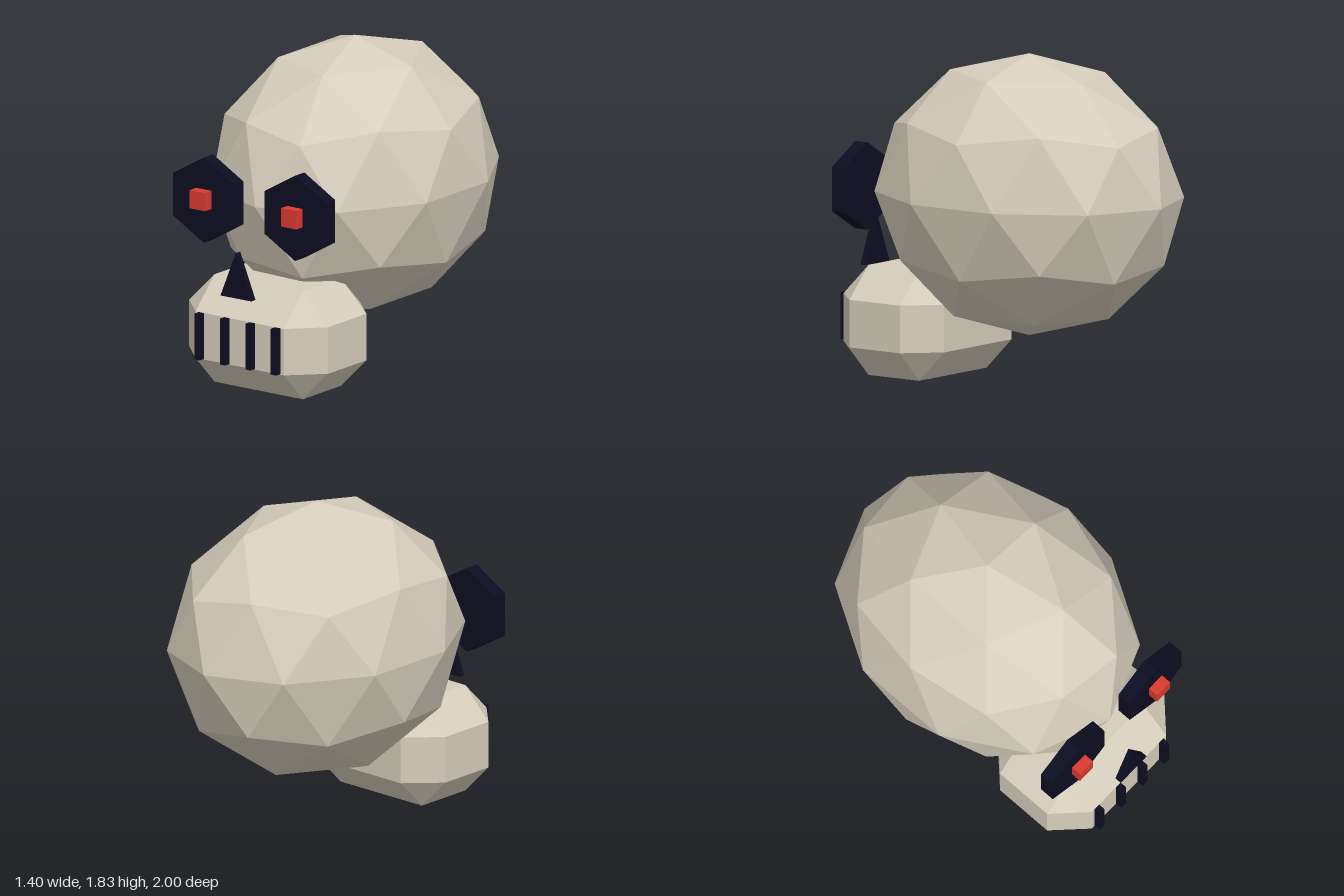
import * as THREE from 'three';
import { ConvexGeometry } from 'three/addons/geometries/ConvexGeometry.js';

const material = (name, color) => {
  const m = new THREE.MeshStandardMaterial({ color, flatShading: true });
  m.name = name;
  return m;
};

// Box with flat chamfers on every edge and cut corners
function chamferedBox(w, h, d, c) {
  const [x, y, z] = [w / 2, h / 2, d / 2];
  const points = [];
  for (const sx of [-1, 1]) for (const sy of [-1, 1]) for (const sz of [-1, 1]) {
    points.push(
      new THREE.Vector3(sx * x, sy * (y - c), sz * (z - c)),
      new THREE.Vector3(sx * (x - c), sy * y, sz * (z - c)),
      new THREE.Vector3(sx * (x - c), sy * (y - c), sz * z));
  }
  return new ConvexGeometry(points);
}

export function createModel() {
  const group = new THREE.Group();
  group.name = 'skull';
  const bone = material('bone', 0xd6cebc);
  const dark = material('darkSocket', 0x0d0d22);
  const red = material('redGlow', 0xdc3a30);

  const add = (name, geometry, mat, x, y, z) => {
    const mesh = new THREE.Mesh(geometry, mat);
    mesh.name = name;
    mesh.position.set(x, y, z);
    group.add(mesh);
    return mesh;
  };

  // Cranium: faceted sphere turned so that a corner points straight up
  const cranium = new THREE.IcosahedronGeometry(1, 1);
  cranium.rotateZ(-Math.atan(2 / (1 + Math.sqrt(5))));
  cranium.scale(0.736, 0.78, 0.91);
  add('cranium', cranium, bone, 0, 1.046, -0.09);

  // Jaw block
  add('jaw', chamferedBox(0.95, 0.61, 0.695, 0.173), bone, 0, 0.305, 0.6125);

  // Hexagonal eye sockets with glowing pupils
  const socket = new THREE.CylinderGeometry(0.242, 0.242, 0.085, 6);
  socket.rotateX(Math.PI / 2);
  const pupil = new THREE.BoxGeometry(0.104, 0.104, 0.104);
  for (const [side, s] of [['left', 1], ['right', -1]]) {
    add(side + 'EyeSocket', socket, dark, s * 0.3125, 1.047, 0.829);
    add(side + 'Pupil', pupil, red, s * 0.3125, 1.057, 0.878);
  }

  // Triangular nose opening
  const triangle = new THREE.Shape([
    new THREE.Vector2(-0.105, 0), new THREE.Vector2(0.105, 0), new THREE.Vector2(0, 0.258)]);
  add('nose', new THREE.ExtrudeGeometry(triangle, { depth: 0.04, bevelEnabled: false }),
    dark, 0, 0.568, 0.955);

  // Gaps between the teeth
  const gap = new THREE.BoxGeometry(0.037, 0.26, 0.044);
  for (let i = 0; i < 4; i++) {
    add('toothGap' + (i + 1), gap, dark, (i - 1.5) * 0.174, 0.307, 0.978);
  }

  return group;
}
